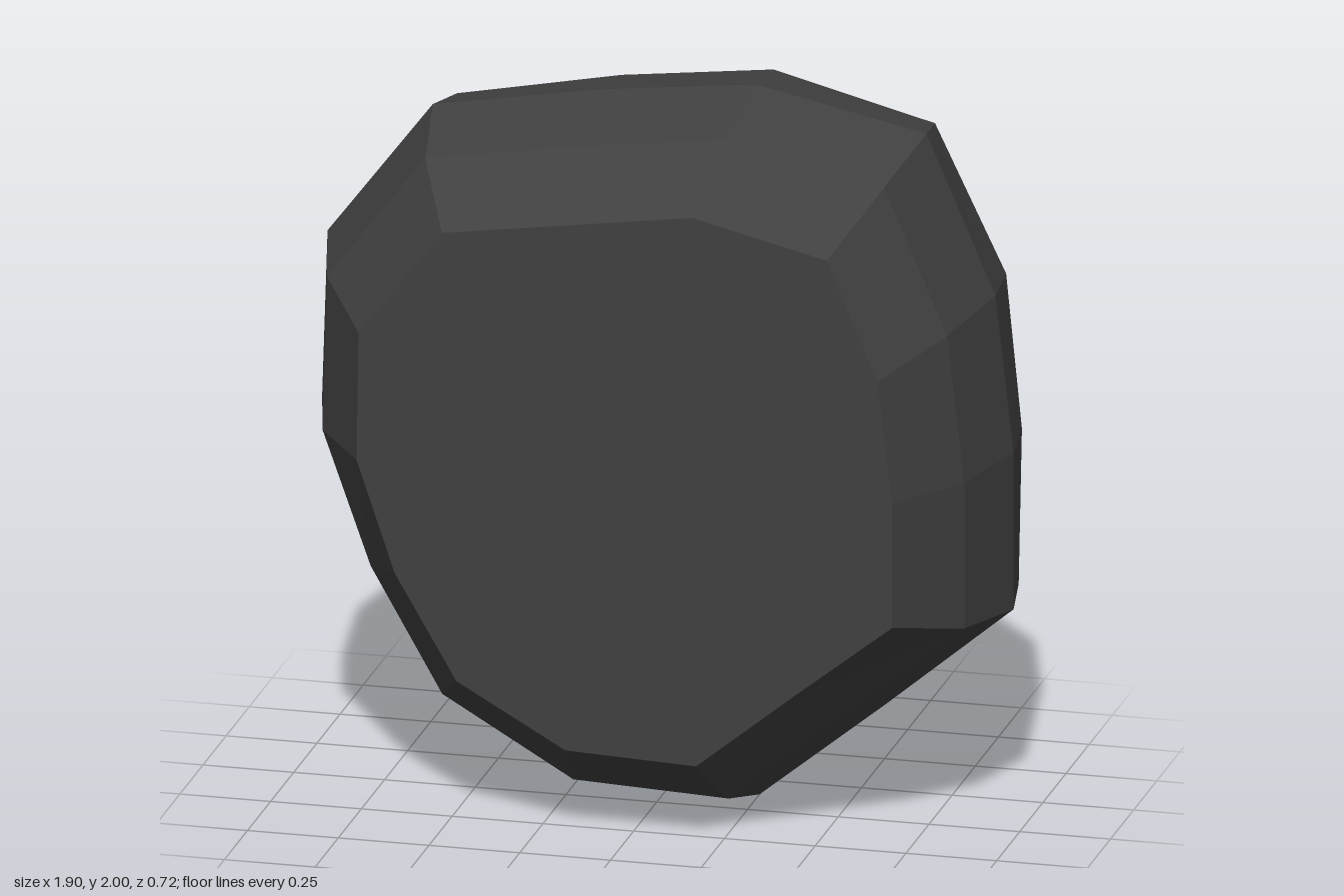
import * as THREE from 'three';

// Per corner, clockwise from the top: [front x, front y, widest x, widest y, back z]
const CORNERS = [
  [0.19, 1.78, 0.24, 2.00, -0.35],
  [0.56, 1.69, 0.71, 1.90, -0.305],
  [0.70, 1.36, 0.90, 1.46, -0.355],
  [0.74, 1.02, 0.95, 1.02, -0.335],
  [0.74, 0.67, 0.95, 0.58, -0.30],
  [0.47, 0.455, 0.60, 0.285, -0.355],
  [0.20, 0.235, 0.25, 0.00, -0.335],
  [-0.16, 0.25, -0.21, 0.02, -0.34],
  [-0.46, 0.42, -0.60, 0.25, -0.355],
  [-0.63, 0.71, -0.81, 0.62, -0.35],
  [-0.735, 1.02, -0.955, 1.02, -0.345],
  [-0.73, 1.38, -0.94, 1.49, -0.36],
  [-0.50, 1.68, -0.65, 1.87, -0.31],
  [-0.15, 1.73, -0.19, 1.95, -0.35],
];

// Rings from front to back: [spread from front outline to widest outline, z]
const RINGS = [[0, 0.36], [0.68, 0.14], [1, -0.13], [0.86, null]];

// Corners folded off the uneven back face before it is fanned
const BACK_FOLDS = [[0, 1, 2], [11, 12, 13], [3, 4, 5], [6, 7, 8], [5, 6, 8]];
const BACK_RIM = [8, 9, 10, 11, 13, 0, 2, 3, 5];

function stoneGeometry() {
  const n = CORNERS.length;
  const positions = [];
  const index = [];

  for (const [spread, z] of RINGS) {
    for (const [fx, fy, wx, wy, backZ] of CORNERS) {
      positions.push(
        THREE.MathUtils.lerp(fx, wx, spread),
        THREE.MathUtils.lerp(fy, wy, spread),
        z ?? backZ
      );
    }
  }

  // Bevelled sides
  for (let r = 0; r < RINGS.length - 1; r++) {
    for (let i = 0; i < n; i++) {
      const a = r * n + i;
      const b = r * n + (i + 1) % n;
      index.push(a, b, a + n, b, b + n, a + n);
    }
  }

  // Flat front face
  for (let i = 1; i < n - 1; i++) index.push(0, i + 1, i);

  // Faceted back face
  const back = (RINGS.length - 1) * n;
  const backFaces = [...BACK_FOLDS];
  for (let i = 1; i < BACK_RIM.length - 1; i++) {
    backFaces.push([BACK_RIM[0], BACK_RIM[i], BACK_RIM[i + 1]]);
  }
  for (const face of backFaces) index.push(...face.map((i) => back + i));

  const indexed = new THREE.BufferGeometry();
  indexed.setAttribute('position', new THREE.Float32BufferAttribute(positions, 3));
  indexed.setIndex(index);
  const geometry = indexed.toNonIndexed();
  geometry.computeVertexNormals();
  return geometry;
}

export function createModel() {
  const darkStone = new THREE.MeshStandardMaterial({ color: 0x404040, flatShading: true });
  darkStone.name = 'darkStone';

  const stone = new THREE.Mesh(stoneGeometry(), darkStone);
  stone.name = 'stone';

  const group = new THREE.Group();
  group.name = 'flatStone';
  group.add(stone);
  return group;
}
